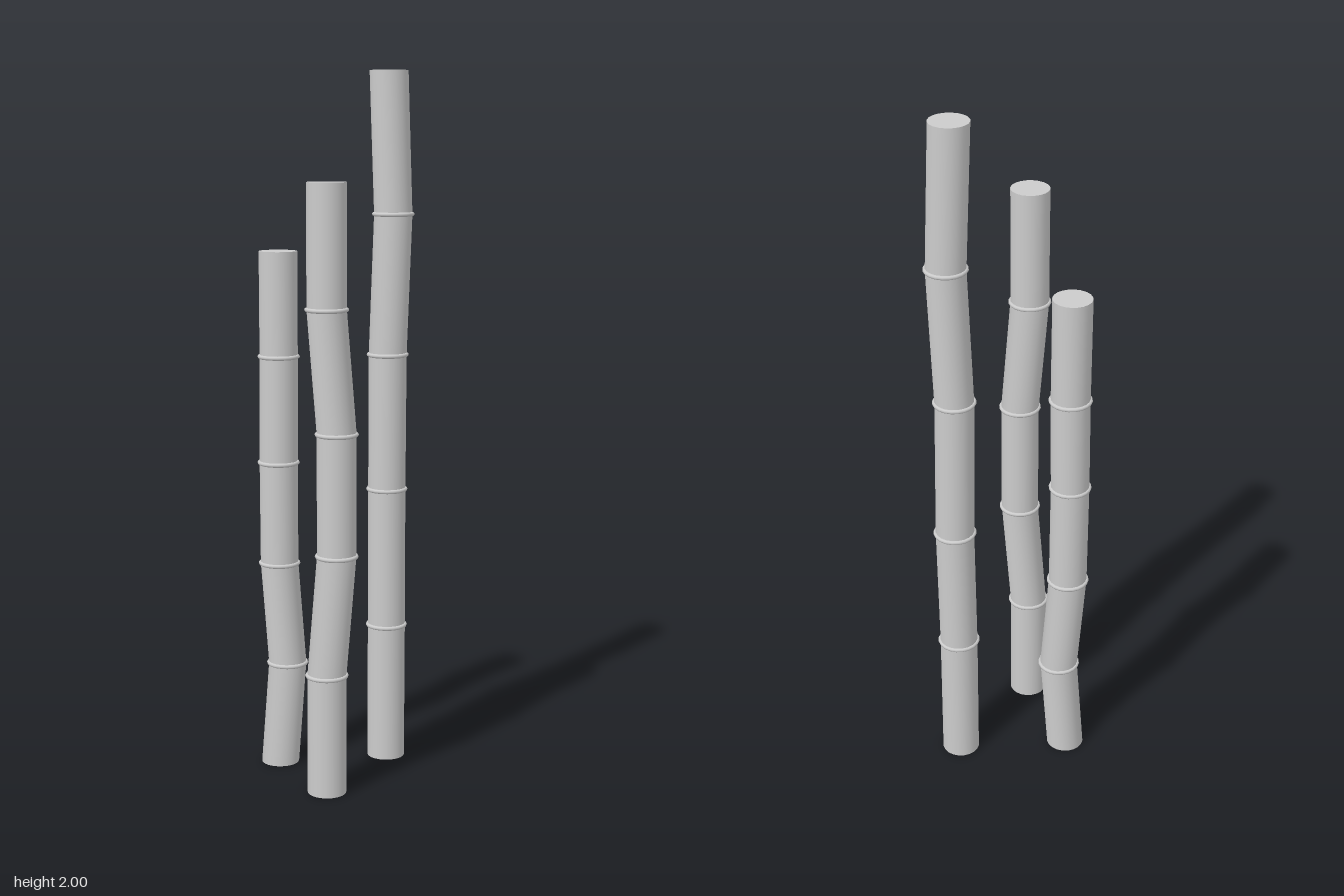
import * as THREE from 'three';

const RADIUS = 0.0545;
const SIDES = 20;

// Each stalk: height and the [x, z] centre of every joint from the ground up
const STALKS = [
  { name: 'tallStalk', height: 2,
    centres: [[0.148, -0.138], [0.148, -0.138], [0.148, -0.172], [0.148, -0.138], [0.162, -0.148], [0.148, -0.138]] },
  { name: 'middleStalk', height: 1.7,
    centres: [[-0.022, 0.17], [-0.022, 0.17], [0.005, 0.17], [0.005, 0.17], [-0.022, 0.17], [-0.022, 0.17]] },
  { name: 'shortStalk', height: 1.5,
    centres: [[-0.163, -0.079], [-0.141, -0.083], [-0.163, -0.079], [-0.163, -0.055], [-0.163, -0.09], [-0.163, -0.079]] },
];

// Straight cane whose horizontal cross-sections are shifted to the joint centres
function caneGeometry(height, centres) {
  const rows = centres.length - 1;
  const geometry = new THREE.CylinderGeometry(RADIUS, RADIUS, height, SIDES, rows);
  geometry.translate(0, height / 2, 0);
  const p = geometry.attributes.position;
  for (let i = 0; i < p.count; i++) {
    const [x, z] = centres[Math.round((p.getY(i) / height) * rows)];
    p.setX(i, p.getX(i) + x);
    p.setZ(i, p.getZ(i) + z);
  }
  return geometry;
}

export function createModel() {
  const model = new THREE.Group();
  model.name = 'bambooStalks';
  const material = new THREE.MeshStandardMaterial({ color: 0xcccccc });
  const ringGeometry = new THREE.TorusGeometry(RADIUS, 0.006, 8, SIDES).rotateX(Math.PI / 2);

  for (const { name, height, centres } of STALKS) {
    const stalk = new THREE.Group();
    stalk.name = name;

    const cane = new THREE.Mesh(caneGeometry(height, centres), material);
    cane.name = 'cane';
    stalk.add(cane);

    // Raised ring at every inner joint
    const last = centres.length - 1;
    for (let i = 1; i < last; i++) {
      const ring = new THREE.Mesh(ringGeometry, material);
      ring.name = 'jointRing';
      ring.position.set(centres[i][0], (height * i) / last, centres[i][1]);
      stalk.add(ring);
    }
    model.add(stalk);
  }
  return model;
}
